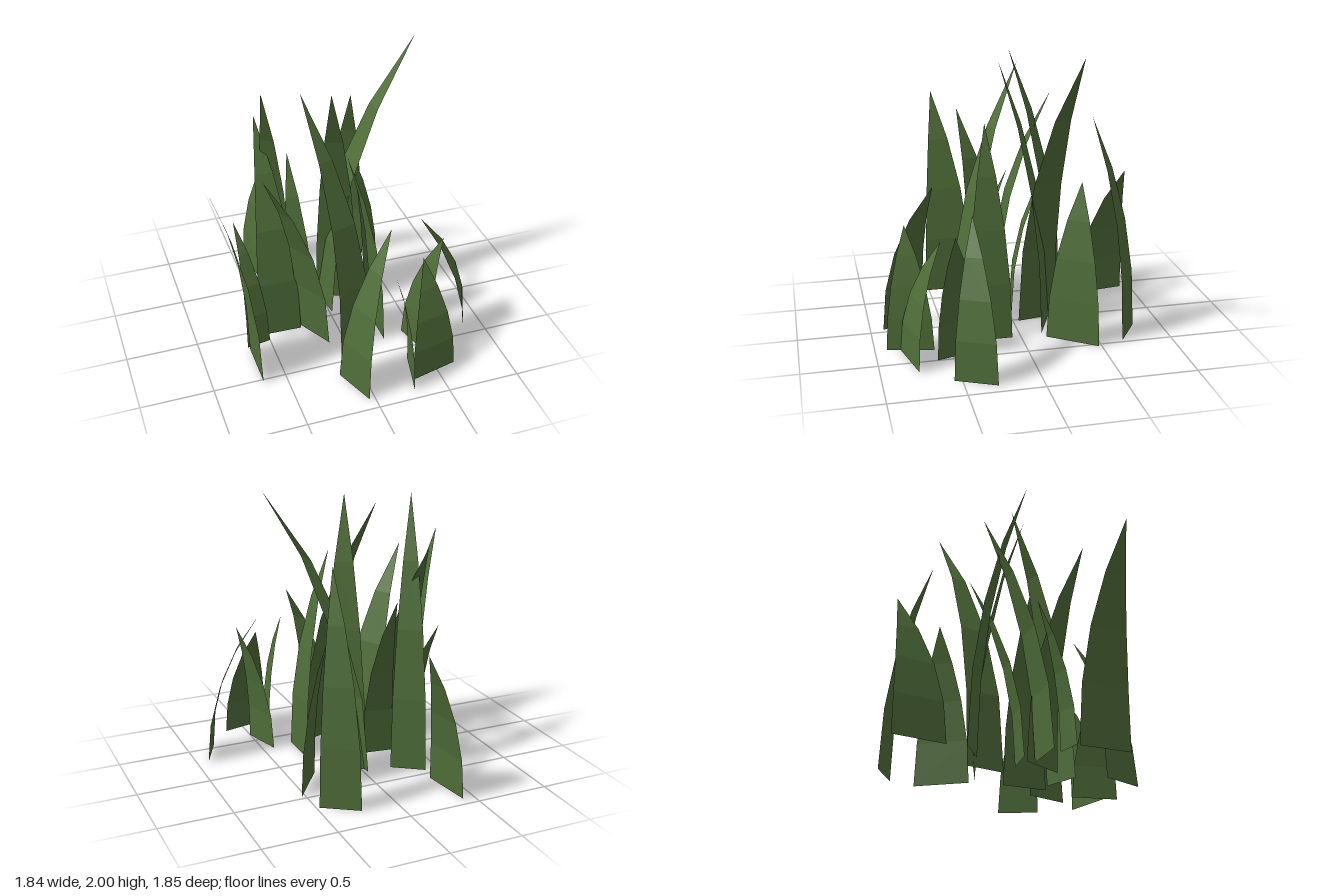
import * as THREE from 'three';

const SEGMENTS = 4;

// Each blade: two base corners (x, z), then the tip (x, y, z)
const BLADES = [
  [-0.42, -0.93, -0.37, -0.57, -0.18, 1.0, -0.86],
  [0.25, -0.81, 0.48, -0.66, 0.3, 1.53, -0.47],
  [0.53, -0.48, 0.31, -0.17, 0.29, 1.09, -0.41],
  [-0.03, -0.31, 0.02, -0.04, 0.69, 2.0, -0.3],
  [-0.03, -0.27, 0.25, -0.15, -0.03, 1.86, 0.09],
  [-0.4, -0.45, -0.2, -0.31, -0.45, 1.86, -0.07],
  [0.18, 0.34, -0.07, 0.43, -0.19, 1.82, -0.07],
  [0.27, 0.06, 0.27, 0.37, 0.04, 1.46, 0.2],
  [-0.26, 0.0, -0.11, 0.28, -0.55, 1.43, 0.29],
  [-0.56, 0.05, -0.25, 0.06, -0.43, 1.55, -0.37],
  [-0.34, -0.05, -0.12, -0.02, -0.2, 1.21, -0.38],
  [-0.67, 0.15, -0.5, 0.12, -0.67, 0.91, -0.1],
  [-0.66, 0.17, -0.66, 0.52, -0.92, 1.48, 0.42],
  [-0.15, 0.62, -0.04, 0.91, 0.21, 1.1, 0.58],
  [0.3, 0.83, 0.64, 0.75, 0.45, 0.81, 0.57],
  [0.35, 0.61, 0.28, 0.92, 0.18, 0.84, 0.77],
  [0.92, 0.29, 0.8, 0.55, 0.5, 0.99, 0.37],
  [0.42, 0.32, 0.5, 0.61, 0.62, 0.89, 0.5],
];

// A flat ribbon that narrows and bends over towards its tip
function bladeGeometry([ax, az, bx, bz, tx, height, tz]) {
  const midX = (ax + bx) / 2, midZ = (az + bz) / 2;
  const halfX = (bx - ax) / 2, halfZ = (bz - az) / 2;
  const positions = [], index = [];

  for (let i = 0; i < SEGMENTS; i++) {
    const t = i / SEGMENTS;
    const width = 1 - t ** 1.85;
    const bend = t * t;
    const x = midX + (tx - midX) * bend;
    const z = midZ + (tz - midZ) * bend;
    const y = height * (t + 0.1 * t * (1 - t));
    positions.push(x - halfX * width, y, z - halfZ * width);
    positions.push(x + halfX * width, y, z + halfZ * width);
    const a = i * 2;
    if (i < SEGMENTS - 1) index.push(a, a + 1, a + 3, a, a + 3, a + 2);
    else index.push(a, a + 1, a + 2);
  }
  positions.push(tx, height, tz);

  const indexed = new THREE.BufferGeometry();
  indexed.setAttribute('position', new THREE.Float32BufferAttribute(positions, 3));
  indexed.setIndex(index);
  // Separate corners give each segment its own flat normal
  const geometry = indexed.toNonIndexed();
  geometry.computeVertexNormals();
  return geometry;
}

export function createModel() {
  const group = new THREE.Group();
  group.name = 'grassTuft';
  const grassGreen = new THREE.MeshStandardMaterial({
    color: 0x4f6d39, flatShading: true, side: THREE.DoubleSide,
  });
  grassGreen.name = 'grassGreen';

  BLADES.forEach((blade, i) => {
    const mesh = new THREE.Mesh(bladeGeometry(blade), grassGreen);
    mesh.name = `grassBlade${i + 1}`;
    group.add(mesh);
  });
  return group;
}
